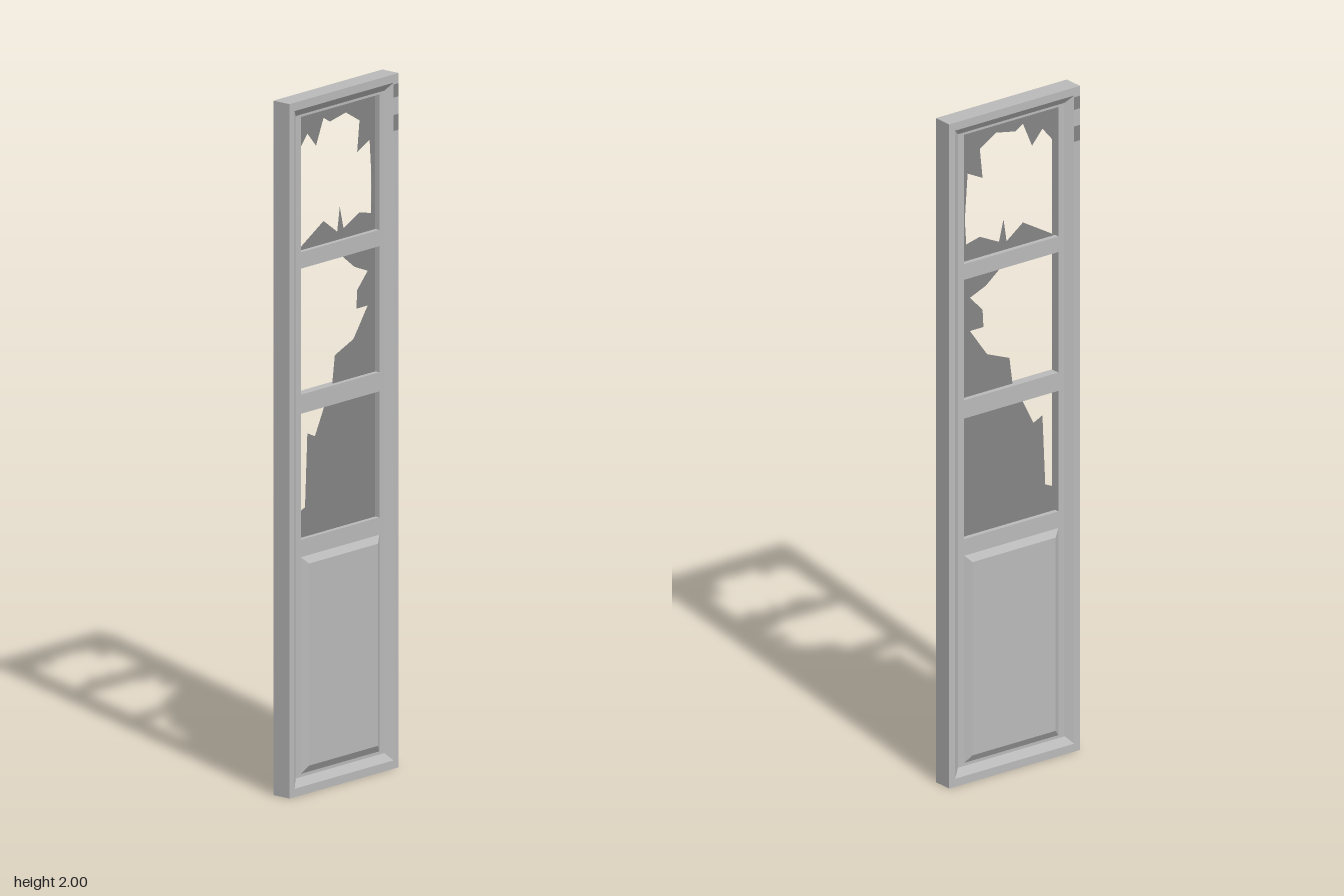
import * as THREE from 'three';

const paint = new THREE.MeshStandardMaterial({ color: 0xbbbbbb });
paint.name = 'pale grey paint';
const glass = new THREE.MeshStandardMaterial({ color: 0x868686, side: THREE.DoubleSide });
glass.name = 'dark grey glass';

const HALF = 0.03;   // half depth of the outer frame
const LEAF = 0.015;  // half depth of the recessed leaf
const PANEL = 0.028; // half depth of the raised panel

// A rectangle is [x0, y0, x1, y1]
const corners = ([x0, y0, x1, y1]) => [[x0, y0], [x1, y0], [x1, y1], [x0, y1]];
const toPoints = (list) => list.map(([x, y]) => new THREE.Vector2(x, y));

// Flat board with rectangular openings, centred in depth
function board(outer, openings, half) {
  const shape = new THREE.Shape(toPoints(corners(outer)));
  for (const o of openings) shape.holes.push(new THREE.Path(toPoints(corners(o))));
  const geo = new THREE.ExtrudeGeometry(shape, { depth: half * 2, bevelEnabled: false });
  return geo.translate(0, 0, -half);
}

// Four sloping faces joining an outer rectangle to an inner one
function slopes(outer, zOuter, inner, zInner) {
  const o = corners(outer), n = corners(inner), pos = [];
  for (let i = 0; i < 4; i++) {
    const j = (i + 1) % 4;
    const a = [...o[i], zOuter], b = [...o[j], zOuter];
    const c = [...n[j], zInner], d = [...n[i], zInner];
    pos.push(...a, ...b, ...c, ...a, ...c, ...d);
  }
  const geo = new THREE.BufferGeometry();
  geo.setAttribute('position', new THREE.Float32BufferAttribute(pos, 3));
  geo.computeVertexNormals();
  return geo;
}

export function createModel() {
  const door = new THREE.Group();
  door.name = 'brokenGlassDoor';
  const add = (name, geo, mat, parent = door) => {
    const mesh = new THREE.Mesh(geo, mat);
    mesh.name = name;
    parent.add(mesh);
    return mesh;
  };

  const outer = [-0.232, 0, 0.232, 2];
  const rim = [-0.211, 0.024, 0.211, 1.976];
  const field = [-0.189, 0.047, 0.189, 1.955];
  const windows = [
    [-0.167, 1.558, 0.167, 1.948],
    [-0.167, 1.148, 0.167, 1.511],
    [-0.167, 0.73, 0.167, 1.093],
  ];
  const panelBase = [-0.167, 0.056, 0.167, 0.68];
  const panelTop = [-0.147, 0.078, 0.147, 0.66];

  // Frame and the leaf with its rails and window openings
  add('outerFrame', board(outer, [rim], HALF), paint);
  add('leaf', board(rim, windows, LEAF), paint);

  // Moulding, raised panel and hinge marks, the same on both faces
  for (const [side, turn] of [['front', 0], ['back', Math.PI]]) {
    const face = new THREE.Group();
    face.name = side + 'Face';
    face.rotation.y = turn;
    door.add(face);
    add('moulding', slopes(rim, HALF, field, LEAF), paint, face);
    add('panelBevel', slopes(panelBase, LEAF, panelTop, PANEL), paint, face);
    const [x0, y0, x1, y1] = panelTop;
    add('panelField', new THREE.PlaneGeometry(x1 - x0, y1 - y0), paint, face)
      .position.set(0, (y0 + y1) / 2, PANEL);
    for (const [y, h] of [[1.952, 0.038], [1.86, 0.046]]) {
      add('hingeMark', new THREE.PlaneGeometry(0.021, h), glass, face)
        .position.set(0.2205, y, HALF + 0.0005);
    }
  }

  // Broken panes: jagged edge first, then the corners still held in the frame
  const panes = {
    topPane: [
      [-0.167, 1.836], [-0.122, 1.889], [-0.085, 1.847], [-0.053, 1.921], [-0.026, 1.905],
      [0.042, 1.918], [0.1, 1.884], [0.09, 1.794], [0.143, 1.82], [0.153, 1.683],
      [0.148, 1.608], [0.1, 1.619], [0.032, 1.587], [0.016, 1.651], [0.005, 1.582],
      [-0.053, 1.624], [-0.167, 1.558], [0.167, 1.558], [0.167, 1.948], [-0.167, 1.948],
    ],
    middlePane: [
      [0.021, 1.511], [0.079, 1.466], [0.135, 1.444], [0.09, 1.397], [0.087, 1.344],
      [0.135, 1.344], [0.074, 1.259], [-0.005, 1.228], [-0.016, 1.148],
      [0.167, 1.148], [0.167, 1.511],
    ],
    lowerPane: [
      [-0.048, 1.093], [-0.09, 1.011], [-0.122, 1.026], [-0.132, 0.815], [-0.167, 0.8],
      [-0.167, 0.73], [0.167, 0.73], [0.167, 1.093],
    ],
  };
  for (const [name, outline] of Object.entries(panes)) {
    add(name, new THREE.ShapeGeometry(new THREE.Shape(toPoints(outline))), glass);
  }

  return door;
}
